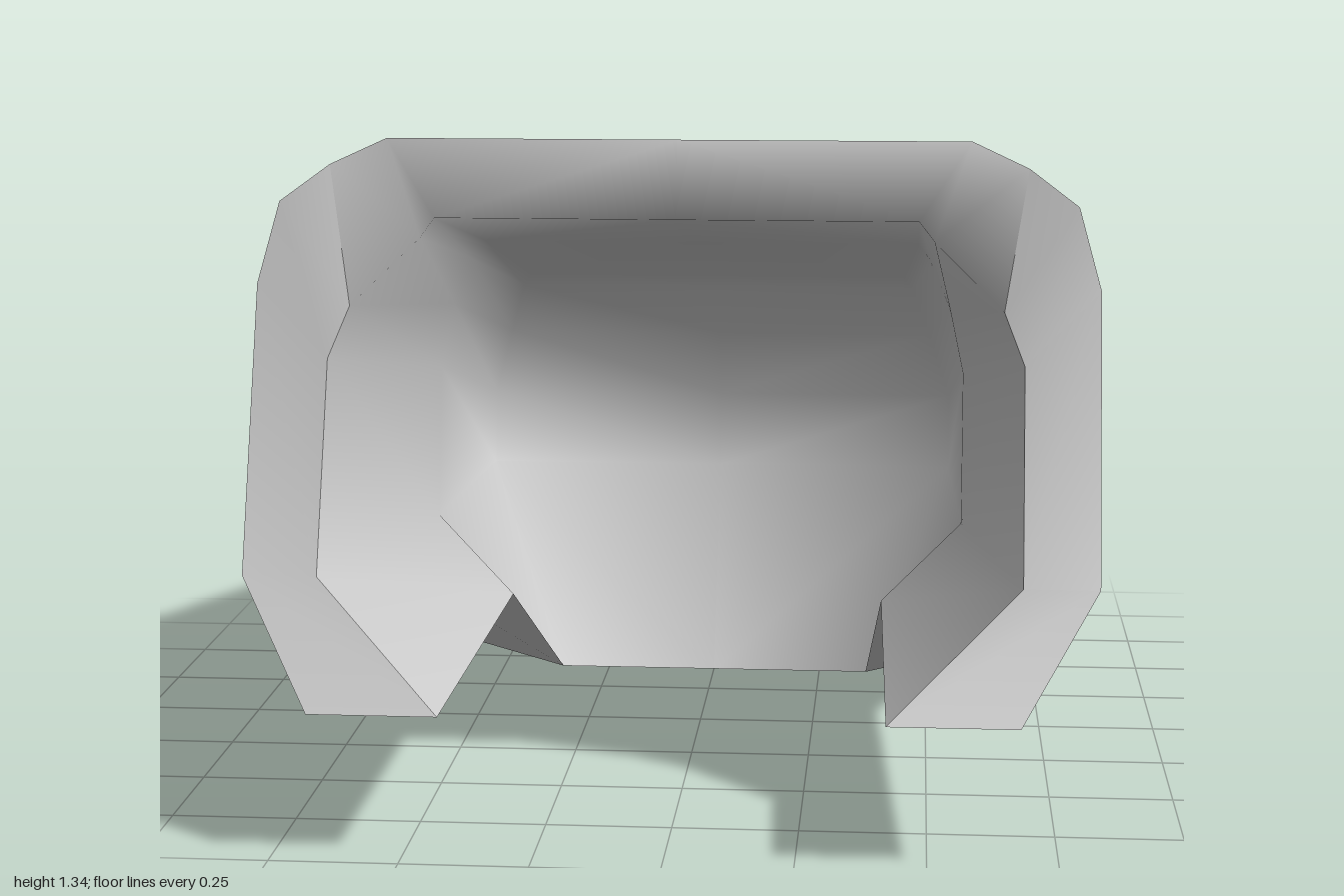
import * as THREE from 'three';
import { toCreasedNormals } from 'three/addons/utils/BufferGeometryUtils.js';

// Half sections run from top centre, over the shoulder, down to the bottom edge.
const outer = [
  // front rim
  [[0, 1.34, .59], [.57, 1.34, .59], [.68, 1.29, .61], [.775, 1.22, .64], [.82, 1.06, .655], [.82, .52, .85], [.67, .29, 1]],
  // middle
  [[0, 1.25, -.27], [.49, 1.25, -.27], [.58, 1.21, -.26], [.665, 1.09, -.24], [.7, .93, -.2], [.71, .56, -.1], [.62, .31, .02]],
  // rear
  [[0, 1.09, -.79], [.42, 1.09, -.79], [.5, 1.04, -.79], [.58, .89, -.79], [.605, .7, -.72], [.615, .4, -.66], [.585, 0, -.62]],
  // back corner
  [[0, .94, -.97], [.36, .94, -.97], [.43, .92, -.97], [.495, .84, -.965], [.49, .62, -.94], [.475, .33, -.895], [.46, 0, -.86]],
  // back panel edge
  [[0, .76, -1], [.3, .76, -1], [.32, .75, -1], [.34, .71, -1], [.35, .56, -1], [.345, .31, -1], [.33, 0, -.91]],
  // back panel centre
  [[0, .76, -1], [0, .76, -1], [0, .75, -1], [0, .71, -1], [0, .56, -1], [0, .31, -1], [0, 0, -.91]],
];
const inner = [
  // lip and inner edge of the rim
  [[0, 1.19, .645], [.47, 1.19, .645], [.5, 1.15, .635], [.635, 1.02, .67], [.675, .92, .7], [.675, .52, .85], [.42, .29, 1]],
  // middle
  [[0, 1.07, 0], [.47, 1.07, 0], [.5, 1.03, 0], [.54, .93, 0], [.57, .79, 0], [.57, .47, .06], [.4, .31, .12]],
  // rear hollow
  [[0, .93, -.5], [.44, .93, -.5], [.46, .9, -.53], [.5, .78, -.61], [.55, .62, -.68], [.55, .45, -.65], [.36, 0, -.42]],
];
// centre of the inner back wall
inner.push(inner[2].map(([, y, z]) => [0, y, z]));

const flip = ([x, y, z]) => [-x, y, z];

// Builds a quad grid between successive half rows together with its mirror image
function panel(name, rows, crease) {
  const pos = [];
  const tri = new THREE.Triangle();
  const add = (p, q, r) => {
    tri.a.fromArray(p); tri.b.fromArray(q); tri.c.fromArray(r);
    if (tri.getArea() < 1e-6) return; // collapsed
    pos.push(...p, ...q, ...r, ...flip(p), ...flip(r), ...flip(q));
  };
  for (let i = 0; i < rows.length - 1; i++) {
    for (let j = 0; j < rows[i].length - 1; j++) {
      const a = rows[i][j], b = rows[i][j + 1], c = rows[i + 1][j], d = rows[i + 1][j + 1];
      add(a, b, c);
      add(b, d, c);
    }
  }
  const geo = new THREE.BufferGeometry();
  geo.setAttribute('position', new THREE.Float32BufferAttribute(pos, 3));
  const mesh = new THREE.Mesh(toCreasedNormals(geo, crease), new THREE.MeshStandardMaterial({ color: 0xcccccc }));
  mesh.name = name;
  return mesh;
}

export function createModel() {
  const group = new THREE.Group();
  group.name = 'hollowHood';
  const front = outer[0], mouth = inner[0];

  // Outer skin, split along the shoulder ridge and the back corners
  group.add(panel('roof', outer.slice(0, 4).map(s => s.slice(0, 4)), 1));
  group.add(panel('sideWalls', outer.slice(0, 4).map(s => s.slice(3)), 1));
  group.add(panel('backPanel', outer.slice(3), 1));

  // Front rim on the sides, tapering away at the top shoulders
  group.add(panel('frontRim', [[front[2], ...mouth.slice(3)], front.slice(2)], 0.5));

  // Hollow: inner walls and ceiling, with the lip rolling up to the roof edge
  const roofEdge = [...front.slice(0, 3), ...mouth.slice(3)];
  group.add(panel('hollow', [...[...inner].reverse(), roofEdge], 2));

  // Underside: closes the gap between the inner and outer bottom edges
  const outerEdge = outer.map(s => s[6]);
  const innerEdge = [0, 1, 2, 2, 2, 3].map(i => inner[i][6]);
  group.add(panel('underside', [innerEdge, outerEdge], 0.3));

  return group;
}
